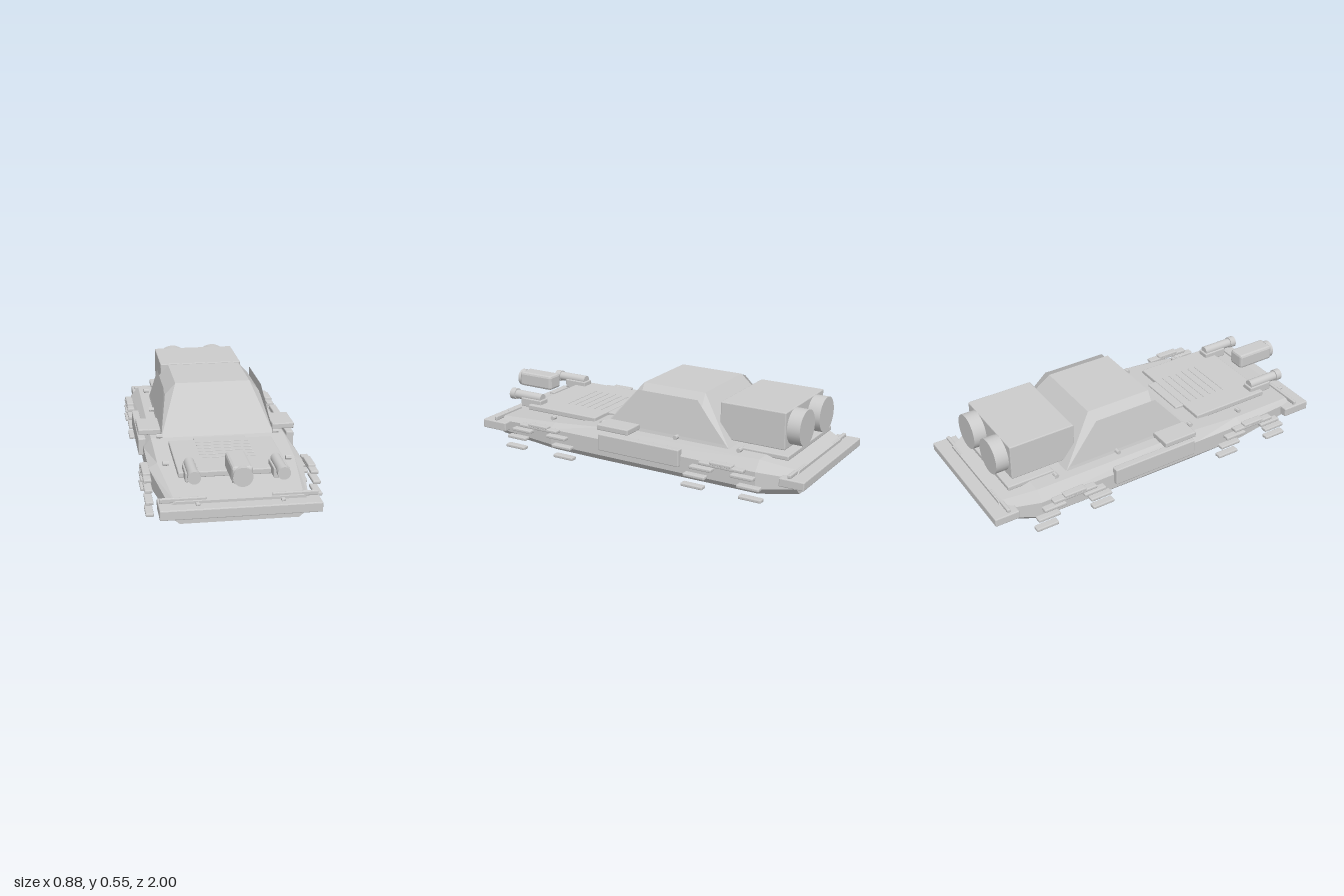
import * as THREE from 'three';
import { RoundedBoxGeometry } from 'three/addons/geometries/RoundedBoxGeometry.js';
import { ConvexGeometry } from 'three/addons/geometries/ConvexGeometry.js';

const mat = new THREE.MeshStandardMaterial({ color: 0xcccccc, flatShading: true });
const thin = new THREE.MeshStandardMaterial({ color: 0xcccccc, flatShading: true, side: THREE.DoubleSide });
const smooth = new THREE.MeshStandardMaterial({ color: 0xcccccc });

export function createModel() {
  const car = new THREE.Group();
  car.name = 'hoverCar';

  const add = (name, geo, material = mat) => {
    const mesh = new THREE.Mesh(geo, material);
    mesh.name = name;
    car.add(mesh);
    return mesh;
  };
  // Bevelled box given by its limits on each axis
  const box = (name, x0, x1, y0, y1, z0, z1, bevel = 0.005) => {
    const w = x1 - x0, h = y1 - y0, d = z1 - z0;
    const r = Math.min(bevel, Math.min(w, h, d) * 0.3);
    const mesh = add(name, new RoundedBoxGeometry(w, h, d, 1, r));
    mesh.position.set((x0 + x1) / 2, (y0 + y1) / 2, (z0 + z1) / 2);
  };
  const sideBox = (name, s, x0, x1, ...rest) =>
    box(name, Math.min(s * x0, s * x1), Math.max(s * x0, s * x1), ...rest);
  // Cylinder lying along z
  const rod = (name, x, y, z0, z1, r) => {
    const geo = new THREE.CylinderGeometry(r, r, z1 - z0, 28).rotateX(Math.PI / 2);
    add(name, geo, smooth).position.set(x, y, (z0 + z1) / 2);
  };

  // Hull lofted through stations: z, bottom width, side width, shoulder y, top width, top y
  const stations = [
    [0.92, 0.29, 0.335, 0.215, 0.31, 0.235],
    [0.5, 0.36, 0.4, 0.25, 0.355, 0.275],
    [0.2, 0.365, 0.4, 0.25, 0.36, 0.303],
    [-0.75, 0.36, 0.4, 0.25, 0.355, 0.303],
    [-0.93, 0.26, 0.3, 0.215, 0.27, 0.25],
  ];
  const pos = [], idx = [];
  for (const [z, wb, w, ym, wt, yt] of stations) {
    const half = [[wb, 0.122], [w, 0.16], [w, ym], [wt, yt]];
    for (const [x, y] of half) pos.push(x, y, z);
    for (const [x, y] of half.reverse()) pos.push(-x, y, z);
  }
  const last = (stations.length - 1) * 8;
  for (let i = 0; i < last; i += 8) {
    for (let j = 0; j < 8; j++) {
      const k = (j + 1) % 8;
      idx.push(i + j, i + 8 + j, i + 8 + k, i + j, i + 8 + k, i + k);
    }
  }
  for (let j = 1; j < 7; j++) idx.push(0, j, j + 1, last, last + j + 1, last + j);
  const hull = new THREE.BufferGeometry();
  hull.setAttribute('position', new THREE.Float32BufferAttribute(pos, 3));
  hull.setIndex(idx);
  const hullFlat = hull.toNonIndexed();
  hullFlat.computeVertexNormals();
  add('hull', hullFlat);

  // Cabin with a bevelled shoulder on each side
  const cabin = [];
  for (const s of [1, -1]) {
    for (const [x, y, z] of [
      [0.205, 0.545, 0.01], [0.205, 0.545, -0.36],
      [0.262, 0.48, 0.0], [0.262, 0.48, -0.37],
      [0.305, 0.3, 0.205], [0.305, 0.3, -0.555],
    ]) cabin.push(new THREE.Vector3(s * x, y, z));
  }
  add('cabin', new ConvexGeometry(cabin));

  // Underside plate, hood, hood flap and vents
  box('bellyPlate', -0.265, 0.265, 0.108, 0.128, -0.65, 0.62);
  box('hoodPlate', -0.275, 0.275, 0.285, 0.315, 0.29, 0.75);
  box('hoodFlap', -0.14, 0.14, 0.29, 0.31, 0.24, 0.3);
  for (let i = 0; i < 6; i++) {
    const z = 0.34 + i * 0.045;
    box('hoodVent', -0.14, 0.14, 0.312, 0.318, z - 0.003, z + 0.003, 0.001);
  }

  // Bumpers
  box('frontBumper', -0.39, 0.39, 0.172, 0.222, 0.83, 0.99);
  box('rearBumper', -0.38, 0.375, 0.19, 0.235, -1.0, -0.865);

  // Centre cannon on the nose
  box('cannonBody', -0.05, 0.05, 0.335, 0.42, 0.76, 0.985, 0.014);
  rod('cannonMuzzle', 0, 0.375, 0.97, 1.0, 0.048);

  // Rear power unit
  box('engineDeck', -0.275, 0.275, 0.29, 0.315, -0.87, -0.61);
  box('engineBox', -0.24, 0.235, 0.325, 0.522, -0.83, -0.465);

  // Belly wheel
  const tyre = [[0, -0.065], [0.1, -0.065], [0.128, -0.058], [0.14, -0.04],
    [0.14, 0.04], [0.128, 0.058], [0.1, 0.065], [0, 0.065]];
  const wheel = new THREE.LatheGeometry(tyre.map(([r, h]) => new THREE.Vector2(r, h)), 24);
  add('bellyWheel', wheel.rotateZ(Math.PI / 2)).position.y = 0.14;

  for (const s of [1, -1]) {
    // Thin door panel standing off the cabin side
    const door = new THREE.BufferGeometry();
    door.setAttribute('position', new THREE.Float32BufferAttribute([
      s * 0.27, 0.52, 0.01, s * 0.27, 0.52, -0.35,
      s * 0.302, 0.32, -0.53, s * 0.302, 0.32, 0.18], 3));
    door.setIndex(s > 0 ? [0, 3, 2, 0, 2, 1] : [0, 2, 3, 0, 1, 2]);
    door.computeVertexNormals();
    add('doorPanel', door, thin);

    // Mirror slab and side pod
    sideBox('mirrorSlab', s, 0.305, 0.425, 0.312, 0.343, -0.02, 0.175);
    sideBox('sidePod', s, 0.385, 0.425, 0.197, 0.29, -0.325, 0.17);

    // Bumper trims and indicators
    sideBox('frontTrim', s, 0.16, 0.385, 0.225, 0.25, 0.893, 0.91);
    sideBox('frontIndicator', s, 0.195, 0.215, 0.222, 0.235, 0.925, 0.955);
    sideBox('rearTrim', s, 0.17, 0.365, 0.235, 0.255, -0.925, -0.905);

    // Nose lamps
    sideBox('lampMount', s, 0.182, 0.25, 0.29, 0.34, 0.68, 0.82);
    rod('lampBarrel', s * 0.216, 0.345, 0.69, 0.89, 0.026);
    rod('lampHead', s * 0.216, 0.345, 0.87, 0.905, 0.032);

    // Exhaust thruster
    rod('thruster', s * 0.125, 0.425, -0.9, -0.82, 0.095);

    // Small pegs along the body edge
    for (const z of [0.54, 0.21, -0.25, -0.62]) {
      const peg = add('bodyPeg', new THREE.CylinderGeometry(0.012, 0.012, 0.03, 8).rotateZ(Math.PI / 2));
      peg.position.set(s * 0.315, z > 0.5 ? 0.285 : 0.315, z);
    }

    // Arches of stepped slats over the front and rear wheel positions
    for (const zc of [0.56, -0.575]) {
      for (let i = 0; i <= 8; i++) {
        const a = (i * Math.PI) / 8;
        const z = zc + 0.165 * Math.cos(a), y = 0.115 + 0.147 * Math.sin(a);
        sideBox('archSlat', s, 0.4, 0.44, y - 0.009, y + 0.009, z - 0.063, z + 0.063);
      }
    }
  }
  return car;
}
